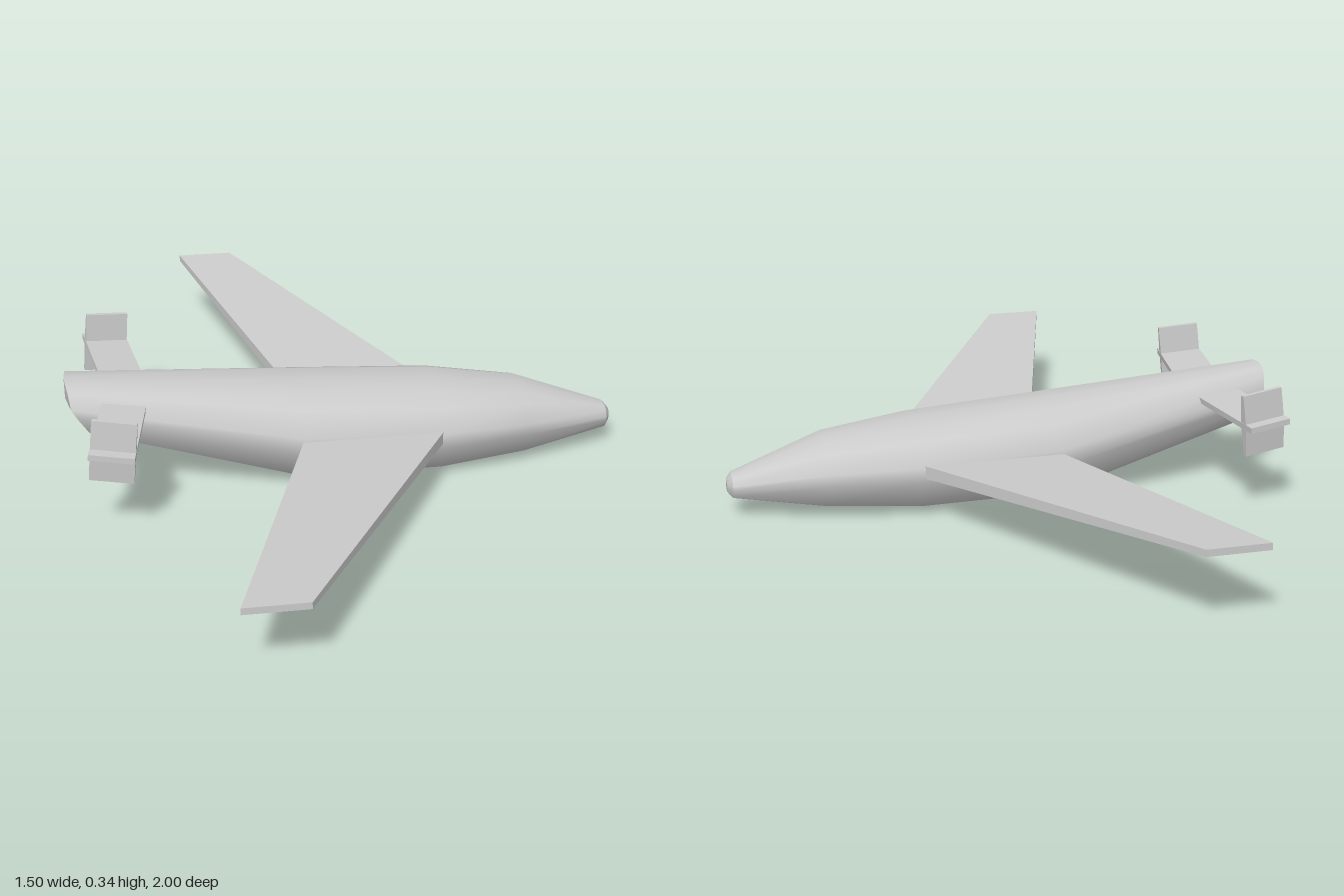
import * as THREE from 'three';

const material = new THREE.MeshStandardMaterial({ color: 0xcccccc });

// Half cross-section from top to bottom (z, y), mirrored into a closed ring
const half = [[0, 1], [0.45, 0.95], [0.78, 0.75], [1, 0.25], [1, -0.1], [0.78, -0.78], [0.43, -0.97], [0, -1]];
const ring = [...half, ...half.slice(1, -1).reverse().map(([u, v]) => [-u, v])];

// Skin a row of sections [x, bottom, top, half width, tail cut] running towards +x
function loft(sections) {
  const n = ring.length, positions = [], index = [];
  sections.forEach(([x, y0, y1, w, cut = 0], i) => {
    for (const [u, v] of ring) {
      const dx = cut * (0.05 * Math.max(0, 0.2 - v) + 0.015 * u * u);
      positions.push(x + dx, (y0 + y1) / 2 + v * (y1 - y0) / 2, u * w);
    }
    if (i === 0) return;
    for (let j = 0; j < n; j++) {
      const a = (i - 1) * n + j, b = (i - 1) * n + (j + 1) % n;
      index.push(a, b, a + n, b, b + n, a + n);
    }
  });
  const g = new THREE.BufferGeometry();
  g.setAttribute('position', new THREE.Float32BufferAttribute(positions, 3));
  g.setIndex(index);
  g.computeVertexNormals();
  return g;
}

// Tapered, swept slab; side is +1 or -1 along z
function wingGeometry(side) {
  const g = new THREE.BoxGeometry(1, 1, 1), p = g.attributes.position;
  const mix = THREE.MathUtils.lerp;
  for (let i = 0; i < p.count; i++) {
    const t = side * p.getZ(i) + 0.5;
    const rear = mix(-0.13, -0.38, t), front = mix(0.25, -0.22, t);
    const bottom = mix(0.12, 0.2, t), top = mix(0.155, 0.218, t);
    p.setXYZ(i, p.getX(i) > 0 ? front : rear, p.getY(i) > 0 ? top : bottom, side * mix(0.16, 1, t));
  }
  g.computeVertexNormals();
  return g;
}

// Fin: slim hexagonal section, thickest at mid height, extruded along the chord
function finGeometry(chord, height) {
  const h = height / 2;
  const shape = new THREE.Shape([
    [-0.006, -h], [0.006, -h], [0.013, 0], [0.006, h], [-0.006, h], [-0.013, 0],
  ].map(([x, y]) => new THREE.Vector2(x, y)));
  const g = new THREE.ExtrudeGeometry(shape, { depth: chord, bevelEnabled: false });
  return g.translate(0, 0, -chord / 2).rotateY(Math.PI / 2);
}

function add(parent, name, geometry) {
  const mesh = new THREE.Mesh(geometry, material);
  mesh.name = name;
  parent.add(mesh);
  return mesh;
}

export function createModel() {
  const model = new THREE.Group();
  model.name = 'aircraft';

  // Body with a slanted tail end and a blunt nose
  const tail = [-0.75, 0.158, 0.315, 0.085, 1];
  const nose = [0.737, 0.056, 0.121, 0.042];
  add(model, 'fuselage', loft([
    tail,
    [-0.13, 0.005, 0.262, 0.17],
    [0.25, 0.004, 0.236, 0.17],
    [0.49, 0.02, 0.206, 0.125],
    nose,
  ]));
  add(model, 'tailCap', loft([[-0.75, 0.25, 0.25, 0], tail]));
  add(model, 'noseCap', loft([nose, [0.75, 0.072, 0.106, 0.022], [0.75, 0.089, 0.089, 0]]));

  for (const side of [1, -1]) {
    const label = side > 0 ? 'left' : 'right';
    add(model, label + 'Wing', wingGeometry(side));

    // Swept, slightly nose-down tailplane carrying a fin near its tip
    const tailplane = new THREE.Group();
    tailplane.name = label + 'TailAssembly';
    tailplane.position.set(-0.585, 0.256, 0);
    tailplane.rotation.set(0, -0.148 * side, -0.1, 'YXZ');
    add(tailplane, label + 'Tailplane', new THREE.BoxGeometry(0.117, 0.016, 0.34))
      .position.z = 0.197 * side;
    add(tailplane, label + 'Fin', finGeometry(0.115, 0.17))
      .position.z = 0.325 * side;
    model.add(tailplane);
  }
  return model;
}
